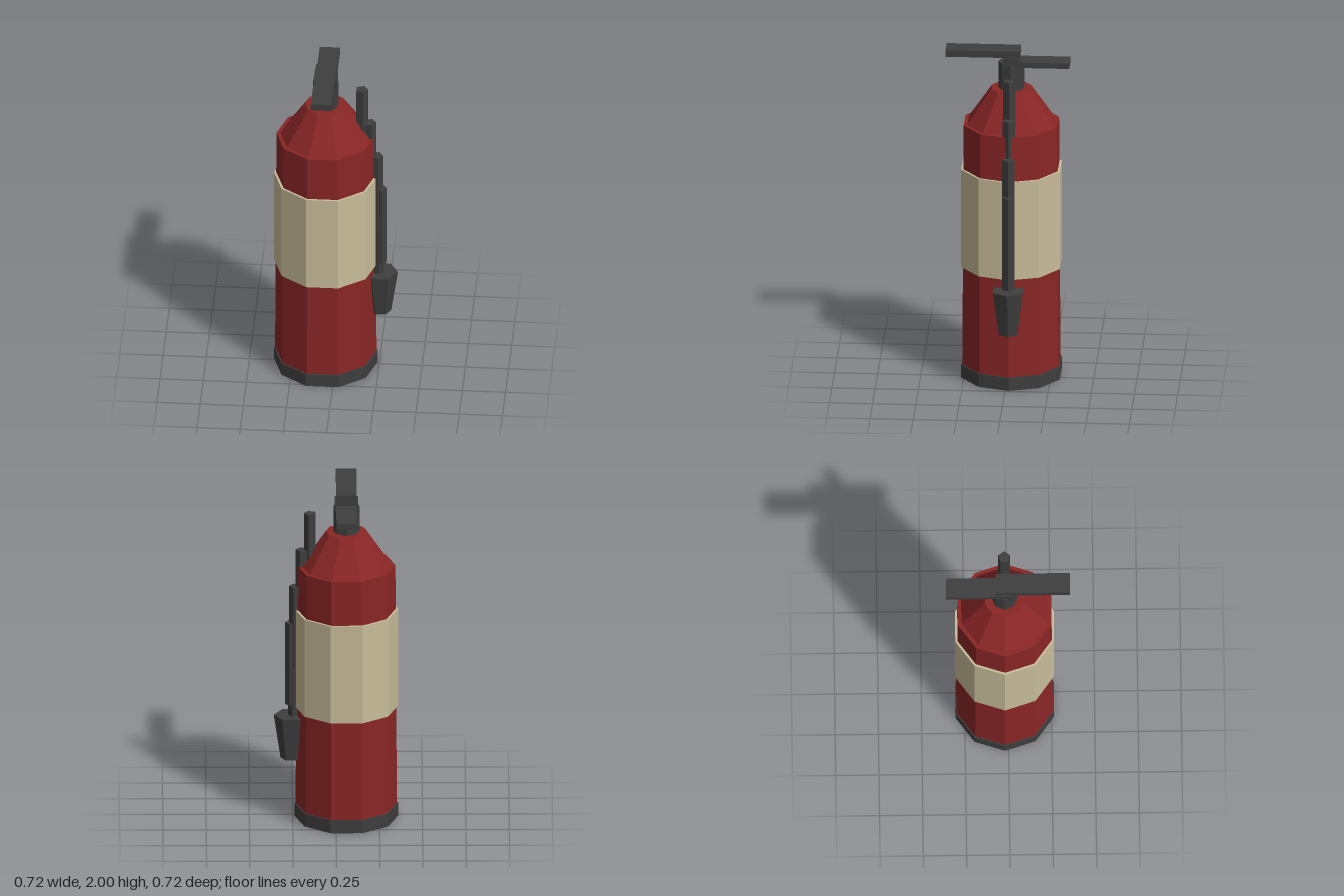
import * as THREE from 'three';

const flat = (name, color) => {
  const m = new THREE.MeshStandardMaterial({ color, flatShading: true });
  m.name = name;
  return m;
};

export function createModel() {
  const red = flat('red paint', 0x8a2626);
  const cream = flat('cream label', 0xc8bc99);
  const dark = flat('dark rubber', 0x3e3e3e);
  const model = new THREE.Group();
  model.name = 'fireExtinguisher';
  const cx = -0.06, cz = -0.02; // axis of the tank

  const add = (name, geometry, material, x, y, z) => {
    const mesh = new THREE.Mesh(geometry, material);
    mesh.name = name;
    mesh.position.set(x, y, z);
    model.add(mesh);
  };
  // Upright prism or frustum between two heights, with a corner facing +x
  const prism = (name, material, sides, rBottom, rTop, y0, y1, x = cx) =>
    add(name, new THREE.CylinderGeometry(rTop, rBottom, y1 - y0, sides, 1, false, Math.PI / 2),
      material, x, (y0 + y1) / 2, cz);
  const box = (name, x0, x1, y0, y1, z0, z1) =>
    add(name, new THREE.BoxGeometry(x1 - x0, y1 - y0, z1 - z0), dark,
      (x0 + x1) / 2, (y0 + y1) / 2, (z0 + z1) / 2);

  // Tank
  prism('base', dark, 10, 0.3, 0.3, 0, 0.08);
  prism('tank', red, 10, 0.293, 0.285, 0.08, 1.55);
  prism('labelBand', cream, 10, 0.3, 0.3, 0.68, 1.28);
  prism('shoulder', red, 10, 0.263, 0.12, 1.55, 1.76);

  // Valve and levers
  prism('neck', dark, 8, 0.075, 0.075, 1.76, 1.92);
  box('valveBlock', -0.127, 0.007, 1.9, 1.96, -0.067, 0.027);
  box('upperLever', -0.12, 0, 1.96, 2, -0.072, 0.358);
  box('lowerLever', -0.119, -0.001, 1.9, 1.933, -0.358, -0.06);

  // Hose of overlapping five-sided segments, stepping down the side
  [0.148, 0.195, 0.234, 0.258, 0.24].forEach((x, i) => {
    const top = 1.872 - i * 0.225;
    prism('hoseSegment' + (i + 1), dark, 5, 0.037, 0.037, top - 0.505, top, x);
  });
  prism('nozzle', dark, 6, 0.06, 0.099, 0.36, 0.625, 0.26);

  return model;
}
